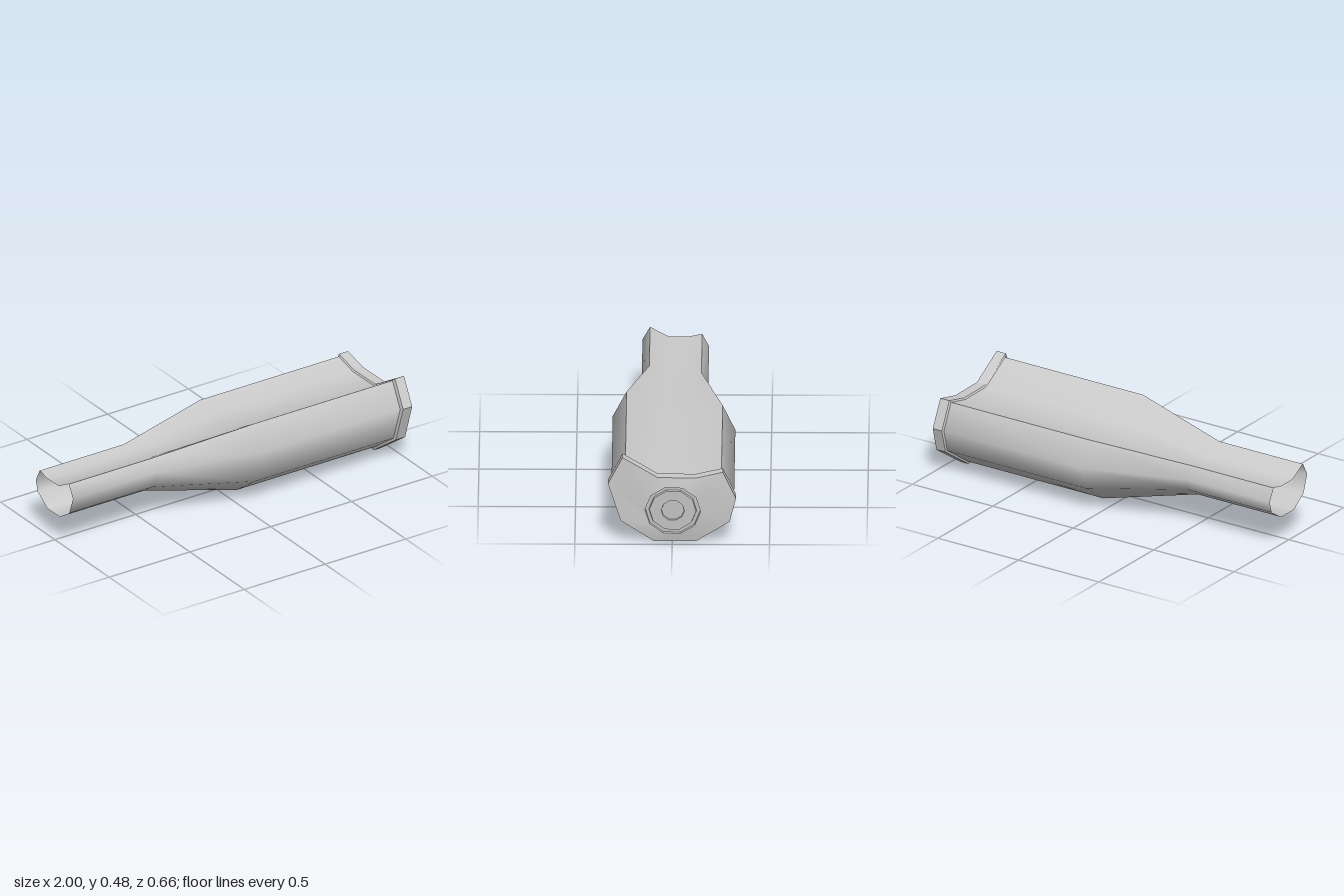
import * as THREE from 'three';
import { toCreasedNormals } from 'three/addons/utils/BufferGeometryUtils.js';

// Ten-sided crumpled outline as [z, y], anticlockwise seen from +x
const OUTLINE = [
  [0.255, 0.48], [0.33, 0.335], [0.265, 0.13], [0.095, 0.003], [-0.122, 0.002],
  [-0.295, 0.125], [-0.328, 0.255], [-0.26, 0.40], [-0.122, 0.367], [0.075, 0.37],
];

// Skin a list of equal-length rings of [x, y, z], running from -x to +x or inwards
function loft(rings, crease) {
  const pos = [];
  const same = (p, q) => p.every((v, k) => Math.abs(v - q[k]) < 1e-6);
  for (let r = 0; r < rings.length - 1; r++) {
    const n = rings[r].length;
    for (let i = 0; i < n; i++) {
      const j = (i + 1) % n;
      const a = rings[r][i], b = rings[r][j], c = rings[r + 1][j], d = rings[r + 1][i];
      pos.push(...a, ...b, ...c);
      if (!same(c, d)) pos.push(...a, ...c, ...d);
    }
  }
  const geo = new THREE.BufferGeometry();
  geo.setAttribute('position', new THREE.Float32BufferAttribute(pos, 3));
  return toCreasedNormals(geo, crease);
}

// Outline fitted to a z range and a y range at station x
function section(x, z0, z1, y0, y1) {
  return OUTLINE.map(([z, y]) => [
    typeof x === 'function' ? x(y) : x,
    y0 + (y - 0.002) / 0.478 * (y1 - y0),
    z0 + (z + 0.328) / 0.658 * (z1 - z0),
  ]);
}

// Ten-sided ring on the slightly tilted end face, pushed out by dx
function faceRing(radius, dx) {
  return OUTLINE.map((_, i) => {
    const a = THREE.MathUtils.degToRad(38.5 - 36 * i);
    const y = 0.183 + radius * Math.sin(a) * 0.97;
    return [0.965 + (y - 0.05) * 0.11 + dx, y, -0.003 + radius * Math.cos(a)];
  });
}

export function createModel() {
  const group = new THREE.Group();
  const add = (name, geo, side) => {
    const mesh = new THREE.Mesh(geo, new THREE.MeshStandardMaterial({ color: 0xcccccc, side }));
    mesh.name = name;
    group.add(mesh);
  };

  // Narrow open neck, sloping shoulder and wide body in one thin shell
  const body = (x) => section(x, -0.318, 0.312, 0.015, 0.465);
  const neck = (x) => section(x, -0.175, 0.167, 0.153, 0.38);
  add('bodyShell', loft([neck(-1), neck(-0.48), body(0.07), body(0.93)], 1.1), THREE.DoubleSide);

  // End rim; its bottom edge is bent back
  const bend = (top, drop) => (y) => top - drop * Math.max(0, 1 - y / 0.125);
  const full = (x) => section(x, -0.328, 0.33, 0.002, 0.48);
  const back = bend(0.928, 0.022), front = bend(0.99, 0.035);
  add('endRim', loft([body(back), full((y) => back(y) + 0.006), full(front)], 0.5), THREE.DoubleSide);

  // End face with a ring groove and a shallow centre recess
  add('endFace', loft([
    full(front),
    faceRing(0.143, 0.003), faceRing(0.141, -0.012), faceRing(0.123, -0.012),
    faceRing(0.12, 0.001), faceRing(0.06, 0.001), faceRing(0.058, -0.008), faceRing(0, -0.008),
  ], 0.4), THREE.FrontSide);

  return group;
}
